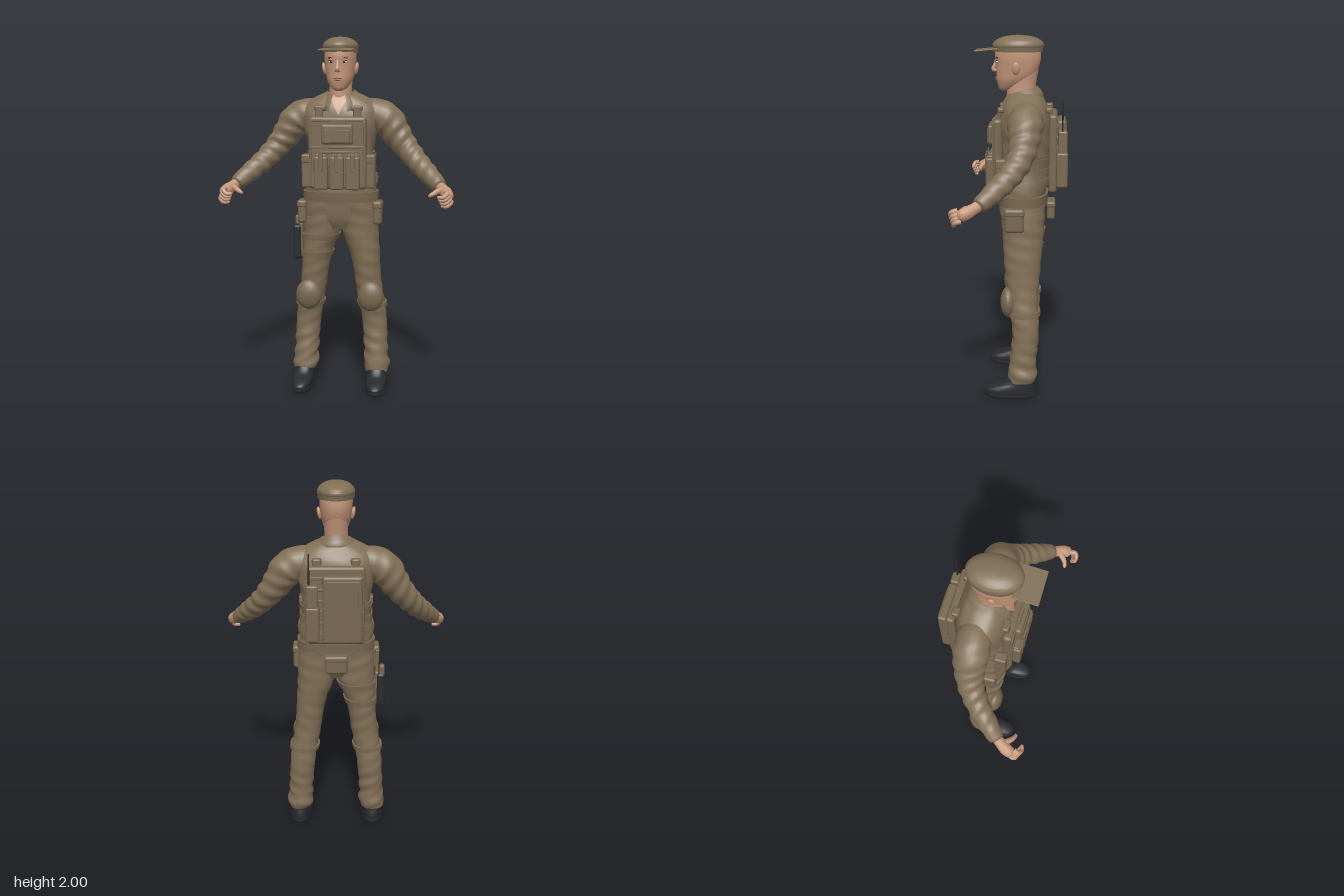
import * as THREE from 'three';
import { mergeVertices, toCreasedNormals } from 'three/addons/utils/BufferGeometryUtils.js';
import { RoundedBoxGeometry } from 'three/addons/geometries/RoundedBoxGeometry.js';
import { ParametricGeometry } from 'three/addons/geometries/ParametricGeometry.js';

const paint = (name, color) => Object.assign(new THREE.MeshStandardMaterial({ color }), { name });

// Smooth interpolation of [y, centreX, halfWidth, zFront, zBack] rows
function profile(rows, y) {
  let i = 0;
  while (i < rows.length - 2 && y > rows[i + 1][0]) i++;
  const a = rows[i], b = rows[i + 1], p = rows[Math.max(i - 1, 0)], n = rows[Math.min(i + 2, rows.length - 1)];
  const h = b[0] - a[0], t = (y - a[0]) / h, t2 = t * t, t3 = t2 * t;
  return a.map((v, k) => {
    const m0 = (b[k] - p[k]) / (b[0] - p[0]) * h, m1 = (n[k] - v) / (n[0] - a[0]) * h;
    return (2 * t3 - 3 * t2 + 1) * v + (t3 - 2 * t2 + t) * m0 + (3 * t2 - 2 * t3) * b[k] + (t3 - t2) * m1;
  });
}

// Closed vertical loft through superelliptic rings
function loft(rows, { from = rows[0][0], to = rows.at(-1)[0], steps = 24, sides = 36, p = 2, grow = 0, fold = () => 0 } = {}) {
  const pos = [], idx = [];
  const pw = v => Math.sign(v) * Math.abs(v) ** (2 / p);
  for (let i = 0; i <= steps; i++) {
    const y = from + (to - from) * i / steps, [, cx, w, zf, zb] = profile(rows, y);
    for (let j = 0; j < sides; j++) {
      const a = j / sides * Math.PI * 2, g = grow + fold(a, y);
      pos.push(cx + (w + g) * pw(Math.sin(a)), y, (zf + zb) / 2 + ((zf - zb) / 2 + g) * pw(Math.cos(a)));
      const k = (j + 1) % sides, r = i * sides;
      if (i < steps) idx.push(r + j, r + k, r + sides + k, r + j, r + sides + k, r + sides + j);
    }
  }
  const c = pos.length / 3, top = steps * sides;
  for (const y of [from, to]) { const q = profile(rows, y); pos.push(q[1], y, (q[3] + q[4]) / 2); }
  for (let j = 0; j < sides; j++) {
    const k = (j + 1) % sides;
    idx.push(c, k, j, c + 1, top + j, top + k);
  }
  const g = new THREE.BufferGeometry();
  g.setAttribute('position', new THREE.Float32BufferAttribute(pos, 3));
  g.setIndex(idx);
  return toCreasedNormals(g, 0.9);
}

// Tube of varying radius through [x, y, z, radius] points
function limb(pts, steps = 30, sides = 20, fold = () => 0) {
  const curve = new THREE.CatmullRomCurve3(pts.map(p => new THREE.Vector3(p[0], p[1], p[2])));
  const g = new THREE.TubeGeometry(curve, steps, 1, sides), P = g.attributes.position, v = new THREE.Vector3();
  for (let i = 0; i <= steps; i++) {
    const c = curve.getPointAt(i / steps), t = curve.getUtoTmapping(i / steps) * (pts.length - 1);
    const k = Math.min(Math.floor(t), pts.length - 2), r = THREE.MathUtils.lerp(pts[k][3], pts[k + 1][3], t - k);
    for (let j = 0; j <= sides; j++) {
      const n = i * (sides + 1) + j;
      v.fromBufferAttribute(P, n).sub(c).multiplyScalar(r + fold(j / sides * Math.PI * 2, i / steps)).add(c);
      P.setXYZ(n, v.x, v.y, v.z);
    }
  }
  g.deleteAttribute('uv'); g.deleteAttribute('normal');
  const m = mergeVertices(g, 1e-5);
  m.computeVertexNormals();
  return m;
}

export function createModel() {
  const root = new THREE.Group();
  const cloth = paint('uniform cloth', 0x827057), gear = paint('gear webbing', 0x786850), skin = paint('skin', 0xc4967a);
  const black = paint('black leather', 0x292a2d), white = paint('eye white', 0xd8d0c6), dark = paint('hair and iris', 0x2e211b);
  const lip = paint('lips', 0xa96f5e);
  const openCloth = paint('collar cloth', 0x827057);
  openCloth.side = THREE.DoubleSide;

  const add = (name, geo, mat, x = 0, y = 0, z = 0) => {
    const m = new THREE.Mesh(geo, mat);
    m.name = name; m.position.set(x, y, z); root.add(m);
    return m;
  };
  const box = (name, w, h, d, x, y, z, mat = gear, r = 0.01) =>
    add(name, new RoundedBoxGeometry(w, h, d, 2, Math.min(r, w / 2.1, h / 2.1, d / 2.1)), mat, x, y, z);
  const ball = (name, w, h, d, x, y, z, mat) => {
    const m = add(name, new THREE.SphereGeometry(1, 20, 14), mat, x, y, z);
    m.scale.set(w, h, d); return m;
  };

  // Shirt
  const torso = [[1.06, 0, .2, .075, -.17], [1.15, 0, .2, .085, -.175], [1.2, 0, .2, .085, -.185], [1.3, 0, .18, .078, -.19],
    [1.42, 0, .19, .08, -.2], [1.53, 0, .215, .08, -.2], [1.6, 0, .22, .068, -.19], [1.645, 0, .19, .05, -.17],
    [1.68, 0, .135, .03, -.15], [1.705, 0, .08, .01, -.12]];
  const folds = (a, y) => .004 * Math.sin(a * 5 + y * 30) * Math.sin(y * 23 + a);
  add('shirt', loft(torso, { steps: 44, sides: 48, p: 2.4, fold: folds }), cloth);

  // Open neckline and folded collar
  add('neckline skin', new ParametricGeometry((u, v, out) => {
    const y = 1.578 + .11 * v, x = (u * 2 - 1) * .056 * v, [, , w, zf, zb] = profile(torso, y);
    out.set(x, y, (zf + zb) / 2 + (zf - zb) / 2 * (1 - Math.abs(x / w) ** 2.4) ** (1 / 2.4) + .007);
  }, 10, 12), skin);
  add('collar', new ParametricGeometry((u, v, out) => {
    const a = .42 + u * (Math.PI * 2 - .84), f = (1 + Math.cos(a)) / 2, flare = Math.sin(v * Math.PI / 2);
    out.set(Math.sin(a) * (.076 + .042 * flare), 1.735 - .045 * f - v * (.055 + .045 * f * f),
      -.04 + Math.cos(a) * (.082 + .035 * flare) + .012 * f * v);
  }, 40, 6), openCloth);

  // Trousers and belt
  add('trouser seat', loft([[.94, 0, .11, .035, -.13], [1, 0, .19, .062, -.165], [1.12, 0, .203, .08, -.178]], { p: 2.4 }), cloth);
  add('belt', loft(torso, { from: 1.1, to: 1.155, steps: 4, sides: 48, p: 2.4, grow: .014 }), gear);
  const leg = [[.095, .212, .066, .022, -.128], [.13, .211, .075, .027, -.14], [.18, .207, .069, .02, -.133], [.27, .202, .069, .008, -.137],
    [.4, .193, .072, .002, -.147], [.5, .18, .074, .02, -.142], [.6, .162, .075, .03, -.14], [.7, .15, .077, .042, -.148],
    [.8, .137, .085, .052, -.156], [.92, .111, .103, .06, -.167], [1, .106, .107, .066, -.17], [1.1, .1, .103, .08, -.175]];
  const boot = [[.018, .215, .058, .157, -.132], [.045, .215, .06, .155, -.132], [.065, .215, .058, .12, -.128],
    [.085, .214, .056, .06, -.122], [.13, .212, .055, .015, -.115]];

  for (const s of [1, -1]) {
    const side = s > 0 ? 'left' : 'right';
    const flip = rows => rows.map(r => [r[0], r[1] * s, ...r.slice(2)]);
    const myLeg = flip(leg);
    const crease = (a, y) => (y < .32 ? .005 : .002) * Math.sin(y * 75 + a * 2 * s) * Math.cos(a - y * 9);
    add(side + ' trouser leg', loft(myLeg, { steps: 70, sides: 32, p: 2.15, fold: crease }), cloth);
    add(side + ' boot', loft(flip(boot), { p: 2.3 }), black);
    add(side + ' boot sole', loft([[0, .215 * s, .056, .145, -.128], [.012, .215 * s, .062, .16, -.137], [.022, .215 * s, .061, .16, -.136]], { steps: 6, p: 2.3 }), black);

    // Knee pad with strap
    ball(side + ' knee pad', .074, .087, .045, s * .178, .555, .025, gear);
    add(side + ' knee strap', loft(myLeg, { from: .485, to: .51, steps: 3, p: 2.15, grow: .012 }), gear);

    // Sleeve
    add(side + ' sleeve', limb([[.1, 1.585, -.07, .07], [.19, 1.582, -.07, .088], [.258, 1.545, -.068, .093], [.312, 1.47, -.062, .08],
      [.365, 1.4, -.045, .068], [.43, 1.325, .005, .06], [.495, 1.262, .075, .054], [.553, 1.21, .142, .042], [.562, 1.202, .152, .034],
      [.564, 1.2, .154, .004]].map(p => [p[0] * s, ...p.slice(1)]), 64, 24,
      (a, t) => .004 * Math.sin(t * 60 + a * 2) * Math.sin(t * Math.PI)), cloth);

    // Hand: palm, thumb and curled fingers
    const hand = pts => limb(pts.map(p => [p[0] * s, ...p.slice(1)]), 14, 10);
    add(side + ' palm', hand([[.548, 1.213, .138, .028], [.572, 1.195, .172, .029], [.592, 1.178, .208, .034], [.602, 1.165, .238, .03], [.604, 1.16, .252, .004]]), skin);
    add(side + ' thumb', hand([[.572, 1.195, .185, .018], [.545, 1.188, .215, .015], [.522, 1.176, .232, .012], [.502, 1.165, .237, .009], [.498, 1.162, .237, .001]]), skin);
    for (let i = 0; i < 4; i++) {
      const o = i - 1.5, x = .6 + o * .007, y = 1.167 - o * .016, z = .24 - o * .006;
      add(side + ' finger', hand([[x, y, z, .014], [x + .006, y - .006, z + .026, .013], [x - .016, y - .026, z + .038, .011],
        [x - .042, y - .024, z + .032, .009], [x - .047, y - .022, z + .03, .001]]), skin);
    }

    // Vest fittings on each side
    box(side + ' front buckle', .066, .028, .035, s * .1, 1.615, .066);
    box(side + ' front shoulder strap', .045, .075, .02, s * .105, 1.592, .075);
    box(side + ' back buckle', .05, .03, .035, s * .1, 1.615, -.188);
    box(side + ' back shoulder strap', .045, .08, .02, s * .1, 1.59, -.2);
    box(side + ' slim pouch', .05, .18, .06, s * .178, 1.27, .06);
    box(side + ' slim pouch flap', .054, .05, .066, s * .178, 1.34, .06);
    box(side + ' hip pouch', .05, .13, .105, s * .213, 1.035, -.01, gear, .018);
    box(side + ' hip pouch flap', .056, .045, .11, s * .213, 1.08, -.01, gear, .015);

    // Face and ear
    ball(side + ' ear', .012, .034, .021, s * .089, 1.83, -.012, skin).rotation.z = -s * .18;
    ball(side + ' eye', .015, .007, .008, s * .035, 1.862, .088, white);
    ball(side + ' iris', .0065, .0065, .003, s * .035, 1.862, .095, dark);
    box(side + ' upper eyelid', .032, .004, .008, s * .035, 1.869, .092, dark, .002);
    box(side + ' eyebrow', .036, .006, .008, s * .036, 1.884, .0925, dark, .002).rotation.set(0, s * .3, -s * .06);
    ball(side + ' nostril', .009, .008, .011, s * .009, 1.816, .103, skin);
  }

  // Head and neck
  add('neck', loft([[1.59, 0, .08, .045, -.12], [1.66, 0, .066, .042, -.11], [1.73, 0, .062, .04, -.115], [1.82, 0, .065, .03, -.13]]), skin);
  add('head', loft([[1.708, 0, .014, .066, .035], [1.716, 0, .034, .08, 0], [1.735, 0, .051, .088, -.04], [1.765, 0, .068, .095, -.085],
    [1.8, 0, .077, .097, -.118], [1.85, 0, .084, .099, -.137], [1.89, 0, .087, .105, -.142], [1.94, 0, .086, .1, -.138]], { steps: 40, p: 2.2 }), skin);
  add('nose', limb([[0, 1.875, .095, .007], [0, 1.845, .105, .009], [0, 1.822, .113, .012], [0, 1.813, .107, .009], [0, 1.81, .1, .001]], 16, 12), skin);
  ball('upper lip', .023, .005, .008, 0, 1.776, .094, lip);
  ball('lower lip', .019, .006, .008, 0, 1.767, .093, lip);

  // Cap with band and peak
  add('cap crown', loft([[1.93, 0, .093, .112, -.15], [1.942, 0, .098, .118, -.157], [1.955, 0, .097, .115, -.156], [1.972, 0, .086, .1, -.142],
    [1.987, 0, .064, .07, -.112], [1.996, 0, .038, .032, -.07], [2, 0, .006, -.012, -.026]], { steps: 30 }), cloth);
  add('cap band', loft([[1.914, 0, .095, .115, -.152], [1.937, 0, .096, .116, -.153]], { steps: 2, grow: .002 }), gear);
  box('cap peak', .18, .006, .125, 0, 1.925, .147, cloth, .002).rotation.x = .1;

  // Front of vest
  box('front plate carrier', .315, .395, .05, 0, 1.373, .083, gear, .018);
  for (const y of [1.55, 1.405, 1.38]) box('front webbing strip', .29, .014, .008, 0, y, .109, gear, .003);
  for (const x of [-.148, .148]) box('front plate edging', .014, .36, .01, x, 1.37, .108, gear, .004);
  box('chest pouch', .175, .108, .04, 0, 1.477, .121, gear, .014);
  box('chest pouch panel', .145, .07, .008, 0, 1.468, .142, gear, .003);
  box('chest patch', .095, .035, .014, 0, 1.54, .113, gear, .004);
  for (const x of [-.087, 0, .087]) {
    box('magazine pouch', .076, .18, .045, x, 1.267, .128, gear, .01);
    box('magazine', .058, .05, .03, x, 1.345, .123, gear, .006);
    box('magazine pull strap', .022, .1, .008, x, 1.325, .152, gear, .003);
  }
  // Side band with rows of webbing
  add('side band', loft(torso, { from: 1.2, to: 1.375, steps: 10, sides: 48, p: 2.4, grow: .009 }), gear);
  for (const y of [1.225, 1.28, 1.335])
    add('side webbing', loft(torso, { from: y, to: y + .026, steps: 2, sides: 48, p: 2.4, grow: .016 }), gear);

  // Back of vest, pack and radio
  box('back plate carrier', .3, .42, .045, 0, 1.385, -.212, gear, .016);
  for (let i = 0; i < 6; i++) box('back webbing strip', .285, .016, .008, 0, 1.235 + i * .06, -.235, gear, .003);
  box('back pack', .207, .36, .05, -.033, 1.375, -.257, gear, .014);
  box('back pack panel', .165, .31, .009, -.033, 1.375, -.282, gear, .003);
  box('radio pouch', .072, .19, .062, .123, 1.3, -.262, gear, .012);
  box('radio', .062, .17, .05, .123, 1.425, -.264, gear, .01);
  add('radio antenna', new THREE.CylinderGeometry(.004, .005, .19, 10), black, .14, 1.575, -.262);
  box('rear belt pouch', .12, .1, .045, 0, 1.05, -.205, gear, .016);
  box('rear belt pouch flap', .126, .035, .05, 0, 1.085, -.205, gear, .012);

  // Thigh holster
  box('holster', .05, .2, .095, -.25, .852, -.055, black, .016);
  box('holster backing', .02, .19, .08, -.227, .865, -.055, gear, .006);
  box('holster grip', .03, .07, .04, -.255, .965, -.075, gear, .01);
  box('holster hanger', .018, .17, .045, -.228, 1.0, -.055, gear, .005);
  const rightLeg = leg.map(r => [r[0], -r[1], ...r.slice(2)]);
  for (const y of [.775, .875])
    add('thigh strap', loft(rightLeg, { from: y, to: y + .032, steps: 3, p: 2.15, grow: .01 }), gear);

  return root;
}
